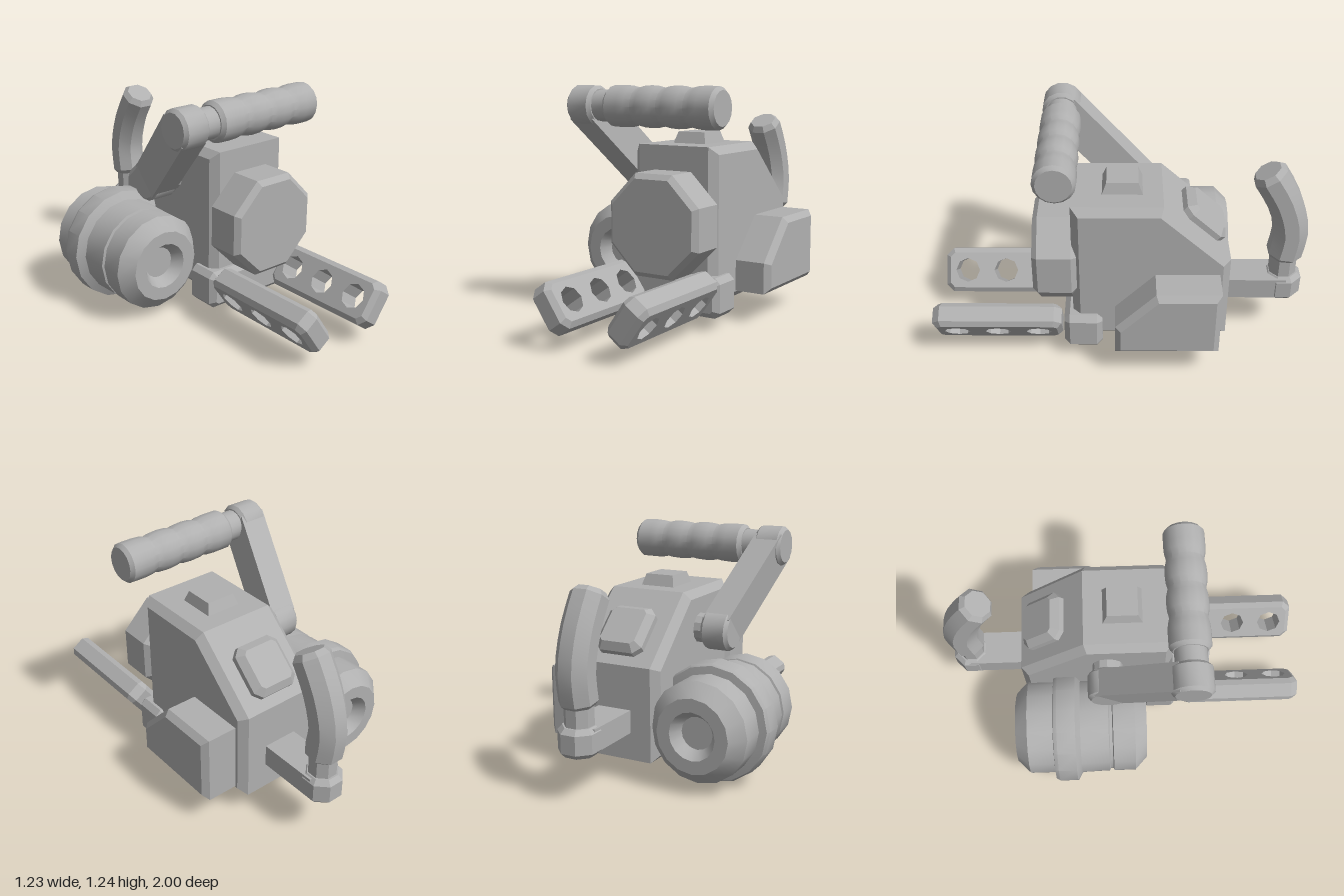
import * as THREE from 'three';
import { toCreasedNormals } from 'three/addons/utils/BufferGeometryUtils.js';

const CX = 0.165; // centre plane of the housing

export function createModel() {
  const model = new THREE.Group();
  const grey = new THREE.MeshStandardMaterial({ color: 0xb0b0b0 });
  grey.name = 'plain grey';

  const add = (name, geometry, x = 0, y = 0, z = 0) => {
    const mesh = new THREE.Mesh(toCreasedNormals(geometry, 0.5), grey);
    mesh.name = name;
    mesh.position.set(x, y, z);
    model.add(mesh);
    return mesh;
  };

  // Move every vertex of a geometry by a rule
  const warp = (geometry, rule) => {
    const p = geometry.attributes.position;
    const v = new THREE.Vector3();
    for (let i = 0; i < p.count; i++) {
      rule(v.fromBufferAttribute(p, i));
      p.setXYZ(i, v.x, v.y, v.z);
    }
    return geometry;
  };

  // Bevelled plate inside the given outline, thickness centred on z
  const slab = (points, thickness, bevel, holes = []) => {
    const shape = new THREE.Shape(points.map(([u, v]) => new THREE.Vector2(u, v)));
    shape.holes = holes;
    const depth = thickness - 2 * bevel;
    return new THREE.ExtrudeGeometry(shape, {
      depth, bevelEnabled: bevel > 0, bevelThickness: bevel, bevelSize: bevel,
      bevelOffset: -bevel, bevelSegments: 1,
    }).translate(0, 0, -depth / 2);
  };
  // Same, but the outline is given as (z, y) and the thickness runs along x
  const sideSlab = (...args) => slab(...args).rotateY(-Math.PI / 2);

  // Rectangle with cut corners
  const cutRect = (w, h, c) => {
    const a = w / 2, b = h / 2;
    return [[a, -b + c], [a, b - c], [a - c, b], [-a + c, b],
      [-a, b - c], [-a, -b + c], [-a + c, -b], [a - c, -b]];
  };

  const lathe = (points, sides) =>
    new THREE.LatheGeometry(points.map(([r, h]) => new THREE.Vector2(r, h)), sides);
  const drum = (r, from, to, c, sides) => lathe(
    [[0, from], [r - c, from], [r, from + c], [r, to - c], [r - c, to], [0, to]], sides);
  const alongX = (g) => g.rotateZ(-Math.PI / 2);

  // Housing with a sloping back
  add('housing', sideSlab([[0.25, 0.12], [0.25, 0.94], [-0.22, 0.94], [-0.575, 0.615],
    [-0.575, 0.12]], 0.5, 0.04), CX);

  // Front cover
  add('frontCover', slab(cutRect(0.53, 0.53, 0.155), 0.23, 0.027), CX, 0.545, 0.34);

  // Side case on the left
  add('sideCase', sideSlab([[0.025, 0.165], [0.025, 0.33], [-0.185, 0.545], [-0.52, 0.545],
    [-0.52, 0.165]], 0.25, 0.03), 0.485);

  // Top button and sloping back button
  add('topButton', warp(new THREE.BoxGeometry(0.215, 0.1, 0.24), (v) => {
    if (v.y > 0) { v.x *= 0.75; v.z *= 0.68; }
  }), CX, 0.95, -0.012);
  add('backButton', slab(cutRect(0.27, 0.28, 0.04), 0.13, 0.035).rotateX(-2.318),
    CX, 0.75, -0.43);

  // Cross bar that carries the forks
  add('crossBar', slab(cutRect(0.59, 0.21, 0.03), 0.205, 0.03), CX, 0.175, 0.195);

  // Two forks leaning outward, each with three holes
  const holeZ = [-0.22, 0, 0.22], holeR = 0.068;
  for (const side of [-1, 1]) {
    const holes = holeZ.map((z) => new THREE.Path().setFromPoints(
      Array.from({ length: 8 }, (_, i) => new THREE.Vector2(
        z + holeR * Math.cos(i * Math.PI / 4), holeR * Math.sin(i * Math.PI / 4)))));
    const fork = sideSlab(cutRect(0.69, 0.25, 0.04), 0.13, 0.025, holes);
    // keep the holes straight through the plate
    warp(fork, (v) => {
      for (const z of holeZ) {
        const d = Math.hypot(v.z - z, v.y);
        if (d < 0.098) {
          v.z = z + (v.z - z) * holeR / d;
          v.y *= holeR / d;
        }
      }
    });
    add(side < 0 ? 'rightFork' : 'leftFork', fork, CX + side * 0.219, 0.207, 0.655)
      .rotation.z = -side * 0.61;
  }

  // Roller on the right, hollowed at both ends
  add('roller', lathe([
    [0, -0.56], [0.085, -0.56], [0.125, -0.62], [0.195, -0.62], [0.265, -0.55],
    [0.265, -0.41], [0.305, -0.405], [0.315, -0.385], [0.315, -0.285], [0.27, -0.26],
    [0.265, -0.105], [0.252, -0.1], [0.252, -0.085], [0.265, -0.08],
    [0.265, 0.04], [0.195, 0.105], [0.125, 0.105], [0.085, 0.045], [0, 0.045],
  ], 16).rotateX(Math.PI / 2), -0.3, 0.318, 0);

  // Crank: shaft, two round ends and the slanting link between them
  const top = new THREE.Vector3(-0.325, 1.138, 0.315);
  const low = new THREE.Vector3(-0.208, 0.735, -0.1);
  add('crankShaft', alongX(drum(0.08, -0.15, -0.05, 0, 12)), 0, low.y, low.z);
  for (const [name, p] of [['crankTopEnd', top], ['crankLowerEnd', low]])
    add(name, alongX(drum(0.108, -0.078, 0.078, 0.018, 14)), p.x, p.y, p.z);
  const dz = low.z - top.z, dy = low.y - top.y, len = Math.hypot(dz, dy);
  const nz = -dy / len * 0.1, ny = dz / len * 0.1;
  const link = sideSlab([[top.z + nz, top.y + ny], [top.z - nz, top.y - ny],
    [low.z - nz, low.y - ny], [low.z + nz, low.y + ny]], 0.15, 0);
  add('crankLink', warp(link, (v) => {
    const t = ((v.z - top.z) * dz + (v.y - top.y) * dy) / (len * len);
    v.x += THREE.MathUtils.lerp(top.x, low.x, t);
  }));

  // Crank grip with finger grooves
  add('gripNeck', alongX(drum(0.083, -0.26, -0.15, 0, 16)), 0, top.y, top.z);
  const grip = [[0, -0.17], [0.09, -0.17], [0.108, -0.15]];
  for (const x of [0.005, 0.163, 0.322])
    grip.push([0.109, x - 0.08], [0.106, x - 0.035], [0.098, x], [0.106, x + 0.035]);
  grip.push([0.109, 0.4], [0.108, 0.475], [0.09, 0.495], [0, 0.495]);
  add('grip', alongX(lathe(grip, 16)), 0, top.y, top.z);

  // Rear bracket with its socket
  add('rearBracket', new THREE.BoxGeometry(0.19, 0.12, 0.4), CX, 0.325, -0.7);
  add('rearSocket', drum(0.107, 0.245, 0.392, 0.025, 8).rotateY(Math.PI / 8), CX, 0, -0.89);
  add('rearNeck', drum(0.075, 0.38, 0.52, 0, 8).rotateY(Math.PI / 8), CX, 0, -0.887);

  // Curved rear handle: a straight profile bent along a curve
  const curve = new THREE.CatmullRomCurve3([[0.49, -0.885], [0.67, -0.905],
    [0.85, -0.855], [1.025, -0.755]].map(([y, z]) => new THREE.Vector3(0, y, z)));
  const profile = [[0, 0], [0.08, 0], [0.098, 0.04]];
  for (let i = 1; i < 7; i++) profile.push([0.098, 0.04 + i * 0.128]);
  profile.push([0.098, 0.95], [0.075, 1], [0, 1]);
  const handle = lathe(profile, 8).rotateY(Math.PI / 8);
  add('rearHandle', warp(handle, (v) => {
    const t = THREE.MathUtils.clamp(v.y, 0, 1);
    const p = curve.getPoint(t), d = curve.getTangent(t);
    v.y = p.y - v.z * d.z;
    v.z = p.z + v.z * d.y;
  }), CX);

  return model;
}
